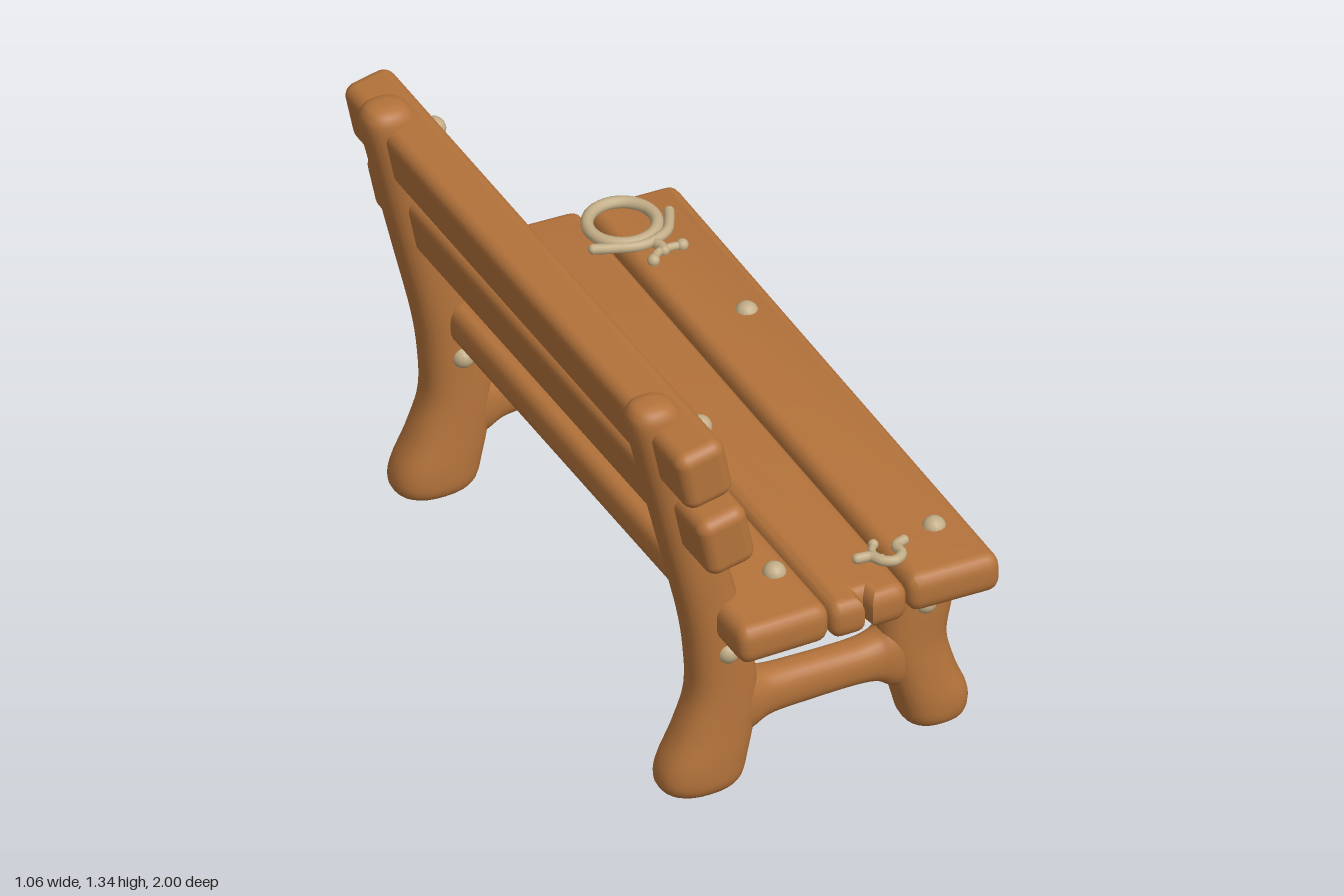
import * as THREE from 'three';
import { toCreasedNormals } from 'three/addons/utils/BufferGeometryUtils.js';
import { RoundedBoxGeometry } from 'three/addons/geometries/RoundedBoxGeometry.js';

const wood = new THREE.MeshStandardMaterial({ color: 0xb4733b });
wood.name = 'warm brown wood';
const bone = new THREE.MeshStandardMaterial({ color: 0xc2ad86 });
bone.name = 'pale tan';

function add(parent, name, geometry, material, x = 0, y = 0, z = 0) {
  const mesh = new THREE.Mesh(geometry, material);
  mesh.name = name;
  mesh.position.set(x, y, z);
  parent.add(mesh);
  return mesh;
}

// Smooth limb through horizontal rings: [centre x, centre y, radius x, radius z]
function limb(sections, rows = 56, sides = 28) {
  const centres = new THREE.CatmullRomCurve3(
    sections.map(([x, y]) => new THREE.Vector3(x, y, 0)), false, 'catmullrom');
  const radii = new THREE.CatmullRomCurve3(
    sections.map(([, , rx, rz]) => new THREE.Vector3(rx, rz, 0)), false, 'catmullrom');
  const pos = [], index = [];
  const round = (v) => Math.sign(v) * Math.abs(v) ** 0.85;
  for (let j = 0; j <= rows; j++) {
    const c = centres.getPoint(j / rows), r = radii.getPoint(j / rows);
    for (let i = 0; i < sides; i++) {
      const a = (i / sides) * Math.PI * 2;
      pos.push(c.x + Math.max(r.x, 0.001) * round(Math.cos(a)), c.y,
        Math.max(r.y, 0.001) * round(Math.sin(a)));
      if (j === rows) continue;
      const p = j * sides + i, q = j * sides + (i + 1) % sides;
      index.push(p, p + sides, q, q, p + sides, q + sides);
    }
  }
  const g = new THREE.BufferGeometry();
  g.setAttribute('position', new THREE.Float32BufferAttribute(pos, 3));
  g.setIndex(index);
  g.computeVertexNormals();
  return g;
}

// Seat board from a plan outline [x, z, corner radius], rounded over its edges
function board(outline, thickness) {
  const pts = outline.map(([x, z]) => new THREE.Vector2(x, z));
  const shape = new THREE.Shape();
  pts.forEach((p, i) => {
    const r = outline[i][2] || 0;
    const before = pts[(i + pts.length - 1) % pts.length], after = pts[(i + 1) % pts.length];
    const a = p.clone().add(before.clone().sub(p).setLength(r));
    const b = p.clone().add(after.clone().sub(p).setLength(r));
    if (i === 0) shape.moveTo(a.x, a.y); else shape.lineTo(a.x, a.y);
    if (r > 0) shape.quadraticCurveTo(p.x, p.y, b.x, b.y);
  });
  const bevel = 0.045;
  const g = new THREE.ExtrudeGeometry(shape, {
    depth: thickness - 2 * bevel, bevelEnabled: true, bevelThickness: bevel,
    bevelSize: 0.035, bevelOffset: -0.035, bevelSegments: 5, curveSegments: 5,
  });
  g.translate(0, 0, bevel);
  g.rotateX(Math.PI / 2);
  return toCreasedNormals(g, 0.6);
}

// Crack cut into the end of a board; dir points into the board
const crack = (x, z, dir) => [
  [x - 0.012 * dir, z], [x - 0.005 * dir, z + 0.045 * dir],
  [x + 0.005 * dir, z + 0.045 * dir], [x + 0.012 * dir, z],
];

// Round-ended rod lying on the seat, through [x, z] points
function rod(parent, name, points, radius, y, knob = radius) {
  const path = points.map(([x, z]) => new THREE.Vector3(x, y, z));
  const curve = new THREE.CatmullRomCurve3(path);
  add(parent, name, new THREE.TubeGeometry(curve, 24, radius, 10), bone);
  for (const p of [path[0], path[path.length - 1]]) {
    add(parent, name + 'Tip', new THREE.SphereGeometry(knob, 12, 8), bone, p.x, p.y, p.z);
  }
}

export function createModel() {
  const bench = new THREE.Group();
  bench.name = 'bench';

  // End frames: a tall back post, a short front leg and a crossbar
  const backPost = limb([
    [-0.31, 0, 0.001, 0.001], [-0.31, 0.004, 0.08, 0.055], [-0.314, 0.035, 0.122, 0.087],
    [-0.305, 0.10, 0.13, 0.092], [-0.272, 0.2, 0.117, 0.086], [-0.247, 0.32, 0.102, 0.08],
    [-0.257, 0.45, 0.094, 0.076], [-0.285, 0.6, 0.088, 0.074], [-0.348, 0.85, 0.084, 0.073],
    [-0.408, 1.1, 0.083, 0.073], [-0.45, 1.27, 0.079, 0.071], [-0.459, 1.322, 0.064, 0.058],
    [-0.463, 1.34, 0.034, 0.03], [-0.463, 1.343, 0.001, 0.001],
  ]);
  const frontLeg = limb([
    [0.4, 0, 0.001, 0.001], [0.4, 0.004, 0.065, 0.055], [0.4, 0.03, 0.093, 0.085],
    [0.393, 0.09, 0.104, 0.092], [0.364, 0.18, 0.099, 0.084], [0.338, 0.29, 0.1, 0.075],
    [0.35, 0.4, 0.106, 0.074], [0.357, 0.48, 0.103, 0.07], [0.357, 0.515, 0.085, 0.058],
    [0.357, 0.53, 0.001, 0.001],
  ]);
  const crossbar = limb([
    [-0.255, -0.25, 0.13, 0.075], [-0.257, -0.17, 0.1, 0.068], [-0.257, -0.11, 0.072, 0.06],
    [-0.256, 0, 0.066, 0.056], [-0.255, 0.15, 0.064, 0.056], [-0.255, 0.22, 0.074, 0.06],
    [-0.255, 0.26, 0.1, 0.066], [-0.255, 0.33, 0.13, 0.07],
  ]).rotateZ(-Math.PI / 2);
  for (const z of [0.77, -0.785]) {
    const frame = new THREE.Group();
    frame.name = 'endFrame';
    frame.position.z = z;
    add(frame, 'backPost', backPost, wood);
    add(frame, 'frontLeg', frontLeg, wood);
    add(frame, 'crossbar', crossbar, wood);
    bench.add(frame);
  }

  // Seat boards, two of them cracked at an end
  const r = 0.04;
  add(bench, 'rearSeatBoard', board([
    [-0.297, -0.985, r], ...crack(-0.14, -0.992, 1), [-0.012, -0.985, r],
    [-0.018, 0.99, r], [-0.295, 0.99, r]], 0.122), wood, 0, 0.642);
  add(bench, 'middleSeatBoard', board([
    [-0.005, -1, r], [0.238, -0.985, r], [0.222, 0.99, r],
    ...crack(0.095, 0.99, -1), [-0.015, 0.99, r]], 0.12), wood, 0, 0.632);
  add(bench, 'frontSeatBoard', board([
    [0.25, -0.978, r], [0.526, -0.965, r], [0.507, 0.99, r], [0.23, 0.978, r]],
  0.122), wood, 0, 0.635);

  // Leaning backrest slats
  const slat = new RoundedBoxGeometry(0.152, 0.193, 1.985, 5, 0.038);
  const slats = [['upperSlat', -0.402, 1.204, 0.002, 0.002], ['lowerSlat', -0.336, 0.958, 0.006, -0.003]];
  for (const [name, x, y, z, roll] of slats) {
    add(bench, name, slat, wood, x, y, z).rotation.set(roll, 0, 0.2);
  }

  // Round bolt heads
  const bolt = new THREE.SphereGeometry(0.034, 14, 10);
  const bolts = [
    [-0.319, 1.22, 0.79], [-0.319, 1.22, -0.768], [-0.265, 1.01, 0.795], [-0.265, 0.99, -0.768],
    [-0.083, 0.638, 0.775], [0.018, 0.618, -0.775], [0.42, 0.622, -0.345], [0.408, 0.626, 0.775],
    [0.352, 0.43, 0.828], [-0.256, 0.47, 0.832], [-0.256, 0.47, -0.85], [-0.256, 0.465, -0.718],
  ];
  for (const [x, y, z] of bolts) add(bench, 'bolt', bolt, bone, x, y, z);

  // Ring with curled branches lying on the seat
  const ring = new THREE.TorusGeometry(0.096, 0.018, 12, 36).rotateX(Math.PI / 2);
  add(bench, 'ring', ring, bone, 0.297, 0.647, -0.84);
  rod(bench, 'ringBranch', [[0.172, -0.77], [0.215, -0.752], [0.3, -0.725], [0.385, -0.75],
    [0.415, -0.79], [0.436, -0.83]], 0.015, 0.645);
  rod(bench, 'ringStem', [[0.335, -0.73], [0.343, -0.7], [0.342, -0.68]], 0.016, 0.642);
  rod(bench, 'ringFork', [[0.295, -0.652], [0.32, -0.677], [0.355, -0.685], [0.398, -0.68]],
    0.012, 0.642, 0.018);

  // Small curled sprig at the other end
  rod(bench, 'sprig', [[0.143, 0.83], [0.18, 0.838], [0.2, 0.87], [0.232, 0.885],
    [0.262, 0.865], [0.265, 0.825], [0.295, 0.812]], 0.015, 0.645);
  rod(bench, 'sprigShoot', [[0.2, 0.862], [0.192, 0.825], [0.212, 0.792]], 0.011, 0.645, 0.015);

  return bench;
}
